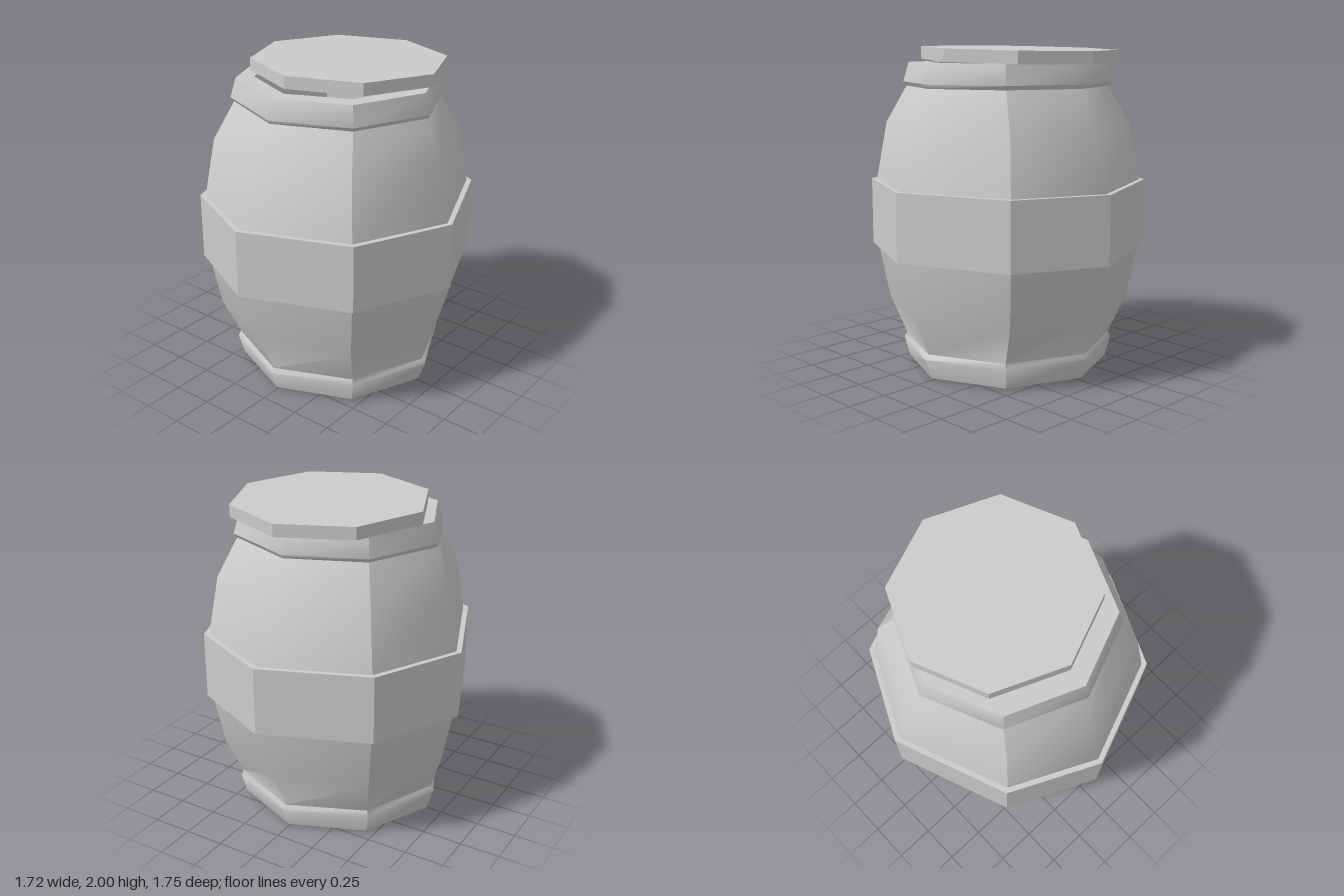
import * as THREE from 'three';
import { mergeGeometries, toCreasedNormals } from 'three/addons/utils/BufferGeometryUtils.js';

const material = new THREE.MeshStandardMaterial({ color: 0xcccccc });

// Corner k of an eight-sided section: [y, x radius, z radius, diagonal x, diagonal z, skew].
// Corners start at the front and run towards +x; skew nudges the four axis corners sideways.
function corner([y, rx, rz, dx, dz, skew = 0], k) {
  const p = [
    [-0.055 * skew, rz], [dx, dz], [rx, 0.04 * skew], [dx, -dz],
    [0.045 * skew, -rz], [-dx, -dz], [-rx, -0.07 * skew], [-dx, dz],
  ][k % 8];
  return new THREE.Vector3(p[0], y, p[1]);
}

// Skin a stack of sections; each quarter is smoothed alone so the diagonals stay sharp.
function loft(name, sections, crease, adjust = () => {}) {
  const quarters = [];
  for (let q = 0; q < 4; q++) {
    const pos = [];
    const tri = (a, b, c) => {
      const area = b.clone().sub(a).cross(c.clone().sub(a)).length();
      if (area > 1e-7) for (const v of [a, b, c]) pos.push(v.x, v.y, v.z);
    };
    for (let s = 0; s + 1 < sections.length; s++) {
      for (let k = 2 * q + 7; k < 2 * q + 9; k++) {
        const [a, b, c, d] = [[s, k], [s, k + 1], [s + 1, k + 1], [s + 1, k]].map(([i, j]) => {
          const v = corner(sections[i], j);
          adjust(v, i, j % 8);
          return v;
        });
        tri(a, b, c);
        tri(a, c, d);
      }
    }
    const g = new THREE.BufferGeometry();
    g.setAttribute('position', new THREE.Float32BufferAttribute(pos, 3));
    quarters.push(toCreasedNormals(g, crease));
  }
  const mesh = new THREE.Mesh(mergeGeometries(quarters), material);
  mesh.name = name;
  return mesh;
}

export function createModel() {
  const barrel = new THREE.Group();
  barrel.name = 'barrel';

  // Lower staves with the flared foot; one foot corner dips slightly to the floor
  barrel.add(loft('lowerBody', [
    [0.015, 0, 0, 0, 0],
    [0.015, 0.645, 0.63, 0.452, 0.445],
    [0.14, 0.69, 0.673, 0.475, 0.468],
    [0.17, 0.667, 0.655, 0.463, 0.455],
    [0.41, 0.755, 0.738, 0.522, 0.55, 0.75],
    [0.76, 0.83, 0.845, 0.568, 0.603, 1],
  ], 0.87, (v, s, k) => { if (s === 1 && k === 6) v.y = 0; }));

  // Upper staves, flared rim, flat lip and the opening under the lid
  barrel.add(loft('upperBody', [
    [1.16, 0.83, 0.845, 0.568, 0.603, 1],
    [1.53, 0.755, 0.738, 0.522, 0.55, 0.75],
    [1.755, 0.643, 0.622, 0.446, 0.44],
    [1.78, 0.66, 0.64, 0.46, 0.455],
    [1.9, 0.62, 0.605, 0.435, 0.43],
    [1.9, 0.51, 0.5, 0.365, 0.345],
    [1.55, 0.51, 0.5, 0.365, 0.345],
    [1.55, 0, 0, 0, 0],
  ], 0.87));

  // Wide hoop around the belly
  barrel.add(loft('middleHoop', [
    [0.755, 0.8, 0.82, 0.55, 0.58, 1],
    [0.755, 0.86, 0.877, 0.592, 0.623, 1],
    [1.17, 0.86, 0.877, 0.592, 0.623, 1],
    [1.17, 0.8, 0.82, 0.55, 0.58, 1],
  ], 0.3));

  // Lid, pushed back and tilted off the rim
  const lid = loft('lid', [
    [-0.075, 0, 0, 0, 0],
    [-0.075, 0.605, 0.595, 0.425, 0.42],
    [0, 0.605, 0.595, 0.425, 0.42],
    [0, 0, 0, 0, 0],
  ], 0.3);
  lid.position.set(0.003, 1.985, -0.105);
  lid.rotation.set(-0.025, -0.01, 0);
  barrel.add(lid);

  return barrel;
}
